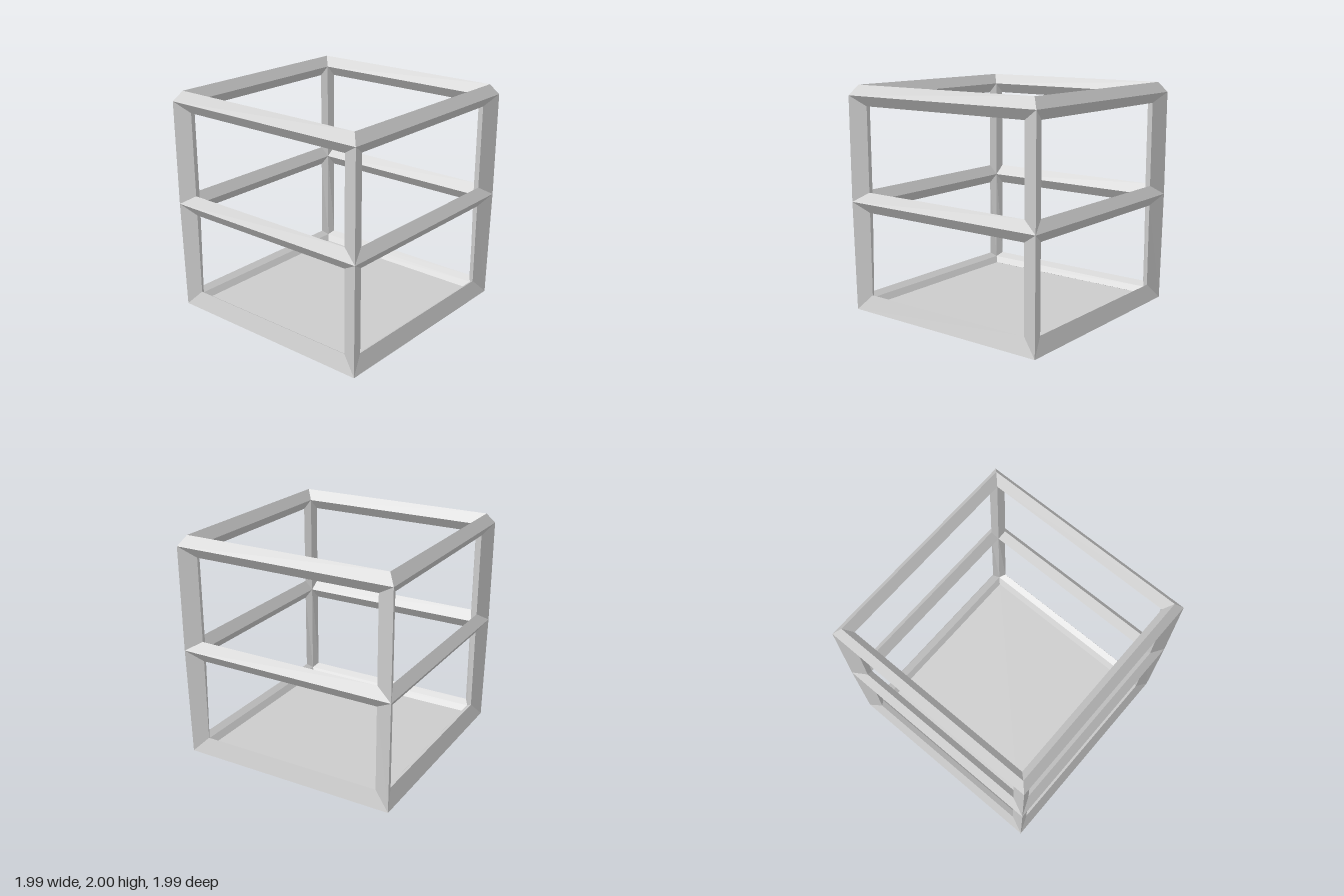
import * as THREE from 'three';

const HALF = 0.93;                  // centre line of the posts
const LEVELS = [0.052, 0.981, 1.91]; // centre height of the rails
const T = 0.09;                     // bar reach within each wall
const IN = HALF - T;

const material = new THREE.MeshStandardMaterial({ color: 0xcccccc, flatShading: true, side: THREE.DoubleSide });

// Bar with a four-sided section, lofted between two mitred ends
function bar(name, a, b) {
  const pos = [];
  for (let k = 0; k < 4; k++) {
    const n = (k + 1) % 4;
    for (const p of [a[k], b[k], b[n], a[k], b[n], a[n]]) pos.push(...p);
  }
  const geo = new THREE.BufferGeometry();
  geo.setAttribute('position', new THREE.Float32BufferAttribute(pos, 3));
  geo.computeVertexNormals();
  const mesh = new THREE.Mesh(geo, material);
  mesh.name = name;
  return mesh;
}

// Outer (dir 1) or inner (dir -1) joint corner at a level
function joint(level, sx, dir) {
  const base = level === 0;
  const d = dir * (base ? 0.052 : 0.0625);
  return [sx * (HALF + d), LEVELS[level] - (base ? d : 0), HALF + d];
}

// Mitred end of a front rail: outer, above, inner, below
function railEnd(level, sx) {
  const y = LEVELS[level];
  const above = level === 2 ? [sx * HALF, y + T, HALF] : [sx * IN, y + T, HALF];
  const below = level === 0 ? [sx * IN, y, IN] : [sx * IN, y - T, HALF];
  return [joint(level, sx, 1), above, joint(level, sx, -1), below];
}

// Mitred end of a corner post; up is 1 at its foot and -1 at its head
function postEnd(level, up) {
  const y = LEVELS[level] + up * T;
  return [joint(level, 1, 1), [IN, y, HALF], joint(level, 1, -1), [HALF, y, IN]];
}

export function createModel() {
  const model = new THREE.Group();
  model.name = 'openFrameCrate';

  // Four identical walls, each with three rails and one corner post
  for (let i = 0; i < 4; i++) {
    const wall = new THREE.Group();
    wall.name = 'wall' + (i + 1);
    ['bottomRail', 'middleRail', 'topRail'].forEach((name, l) =>
      wall.add(bar(name, railEnd(l, -1), railEnd(l, 1))));
    ['lowerPost', 'upperPost'].forEach((name, l) =>
      wall.add(bar(name, postEnd(l, 1), postEnd(l + 1, -1))));
    wall.rotation.y = i * Math.PI / 2;
    model.add(wall);
  }

  // Flat floor panel closing the underside
  const size = 2 * (HALF + 0.052);
  const floor = new THREE.Mesh(new THREE.PlaneGeometry(size, size), material);
  floor.name = 'floor';
  floor.rotation.x = Math.PI / 2;
  model.add(floor);

  return model;
}
